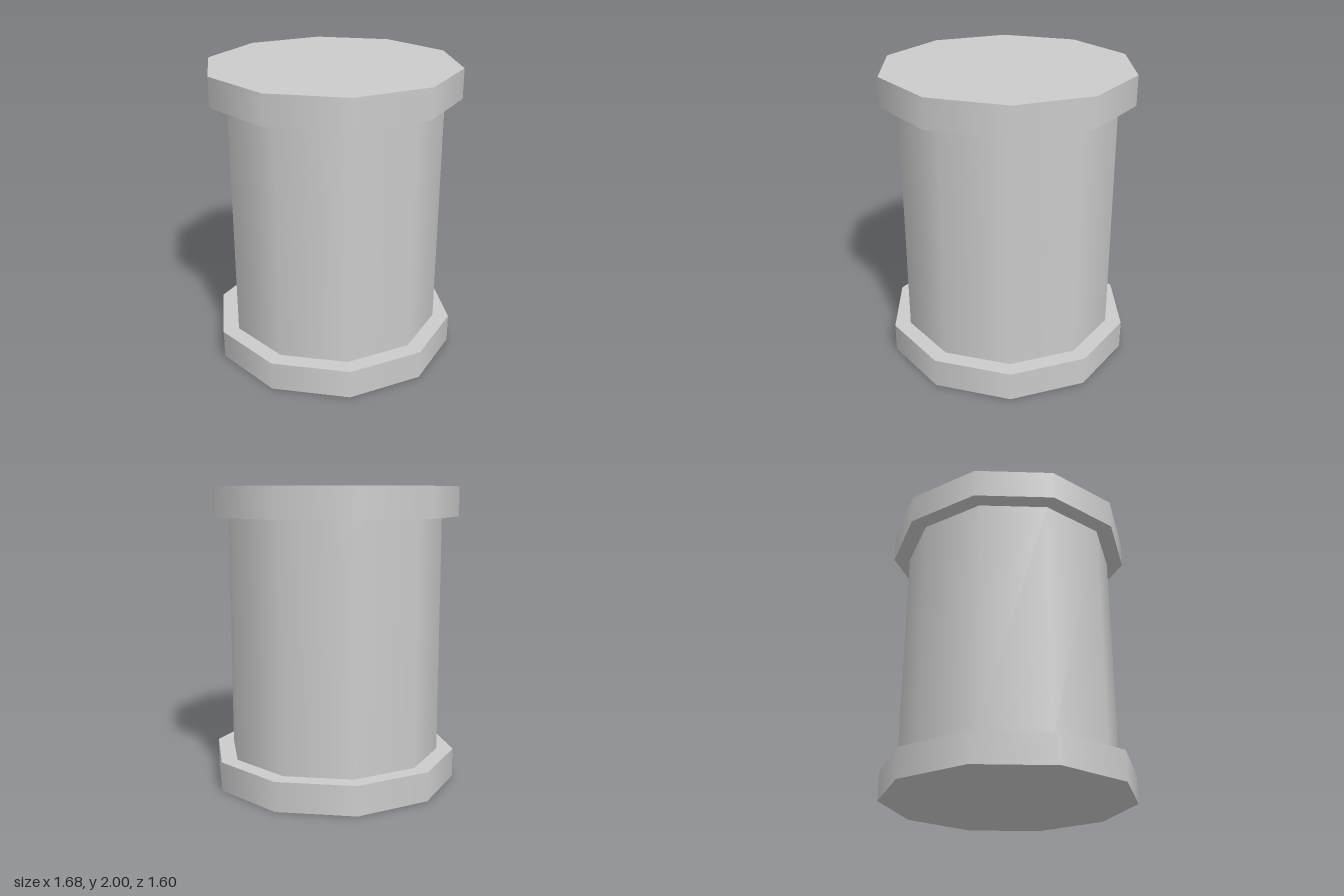
import * as THREE from 'three';

const SIDES = 10;
const HEIGHT = 2;
const RIM_HEIGHT = 0.197;
const RIM_RADIUS = 0.84;
const BODY_RADIUS = 0.728;

export function createModel() {
  const group = new THREE.Group();
  group.name = 'spool';
  const material = new THREE.MeshStandardMaterial({ color: 0xcccccc });

  // Ten-sided drum with smooth sides and a corner on the x axis
  function addDrum(name, radius, bottom, top, open = false) {
    const geometry = new THREE.CylinderGeometry(
      radius, radius, top - bottom, SIDES, 1, open, Math.PI / 2);
    const mesh = new THREE.Mesh(geometry, material);
    mesh.name = name;
    mesh.position.y = (bottom + top) / 2;
    group.add(mesh);
  }

  // Wide rims at both ends, narrower body between them
  addDrum('bottomRim', RIM_RADIUS, 0, RIM_HEIGHT);
  addDrum('body', BODY_RADIUS, RIM_HEIGHT, HEIGHT - RIM_HEIGHT, true);
  addDrum('topRim', RIM_RADIUS, HEIGHT - RIM_HEIGHT, HEIGHT);

  return group;
}
